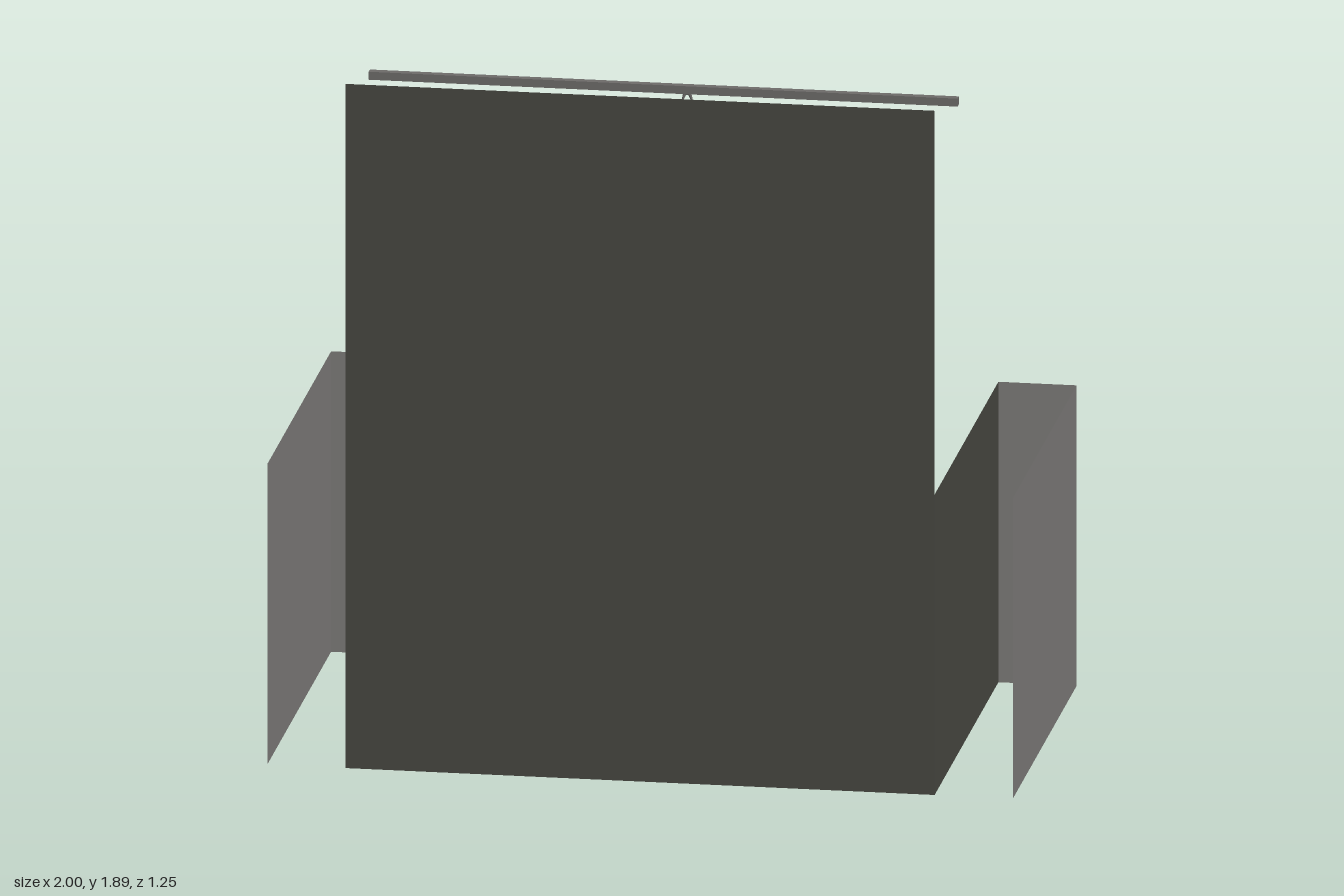
import * as THREE from 'three';

export function createModel() {
  const model = new THREE.Group();
  const mat = (name, color, opts = {}) => {
    const m = new THREE.MeshStandardMaterial({ color, side: THREE.DoubleSide, ...opts });
    m.name = name;
    return m;
  };
  const soot = mat('soot', 0x484842);
  const stone = mat('stone', 0x7e7c7a);
  const iron = mat('iron', 0x6e6c6a);
  const ash = mat('ash', 0x83827f);
  const V = (x, y, z) => new THREE.Vector3(x, y, z);

  const add = (name, geo, material, pos = [0, 0, 0], rot = [0, 0, 0], parent = model) => {
    const m = new THREE.Mesh(geo, material);
    m.name = name;
    m.position.set(...pos);
    m.rotation.set(...rot);
    parent.add(m);
    return m;
  };
  // Round bar between two points
  const rod = (name, a, b, r0, r1, material, sides = 8, parent = model) => {
    const d = b.clone().sub(a);
    const m = add(name, new THREE.CylinderGeometry(r1, r0, d.length(), sides), material,
      a.clone().add(b).multiplyScalar(0.5).toArray(), [0, 0, 0], parent);
    m.quaternion.setFromUnitVectors(V(0, 1, 0), d.normalize());
    return m;
  };

  // Fireplace shell: back wall, floor, side walls and open-topped pillars
  add('backWall', new THREE.PlaneGeometry(1.58, 1.89), soot, [0, 0.945, 0.622], [0, Math.PI, 0]);
  add('floor', new THREE.PlaneGeometry(1.58, 0.95), soot, [0, 0.03, 0.147], [-Math.PI / 2, 0, 0]);
  for (const s of [1, -1]) {
    add('innerSideWall', new THREE.PlaneGeometry(1.064, 0.83), soot, [s * 0.79, 0.415, 0.09], [0, -s * Math.PI / 2, 0]);
    add('outerSideWall', new THREE.PlaneGeometry(1.064, 0.83), stone, [s, 0.415, 0.09], [0, s * Math.PI / 2, 0]);
    add('pillarFace', new THREE.PlaneGeometry(0.21, 0.83), stone, [s * 0.895, 0.415, -0.442], [0, Math.PI, 0]);
  }

  // Hearth kerb stones, open underneath
  for (const [x0, x1] of [[-0.79, -0.285], [-0.275, 0.246], [0.256, 0.79]]) {
    const g = new THREE.BoxGeometry(x1 - x0, 0.08, 0.12);
    const idx = Array.from(g.index.array);
    idx.splice(18, 6);
    g.setIndex(idx);
    add('kerbStone', g, stone, [(x0 + x1) / 2, 0.04, -0.382]);
  }

  // Soot patch spilled in front of the kerb, sloping to the ground
  const patch = new THREE.Shape([[-0.23, -0.45], [-0.22, -0.5], [-0.19, -0.55], [-0.09, -0.59], [0.16, -0.628],
    [0.41, -0.59], [0.51, -0.53], [0.58, -0.46], [0.57, -0.45]].map(([x, z]) => new THREE.Vector2(x, -z)));
  const patchGeo = new THREE.ShapeGeometry(patch);
  patchGeo.rotateX(-Math.PI / 2);
  const pp = patchGeo.attributes.position;
  for (let i = 0; i < pp.count; i++) pp.setY(i, 0.002 + 0.012 * Math.max(0, (pp.getZ(i) + 0.6) / 0.15));
  patchGeo.computeVertexNormals();
  add('sootPatch', patchGeo, soot);

  // Cross bar and hanging chain
  add('crossBar', new THREE.BoxGeometry(1.58, 0.022, 0.022), iron, [0, 1.8, 0.227]);
  const potX = 0.063, potZ = 0.227;
  const linkGeo = new THREE.TorusGeometry(0.013, 0.003, 5, 10);
  linkGeo.scale(1, 2.9, 1);
  for (let i = 0; i < 12; i++) {
    add('chainLink', linkGeo, iron, [potX, 1.755 - i * 0.06, potZ], [0, i % 2 ? Math.PI / 2 : 0, 0]);
  }

  // Cauldron with soup, bail handle, ears and three feet
  const pot = new THREE.Group();
  pot.name = 'cauldron';
  pot.position.set(potX, 0, potZ);
  model.add(pot);
  const profile = [[0, 0.575], [0.06, 0.58], [0.12, 0.605], [0.165, 0.65], [0.187, 0.705], [0.182, 0.755],
    [0.163, 0.79], [0.158, 0.81], [0.183, 0.835], [0.172, 0.838], [0.148, 0.81], [0.15, 0.785]]
    .map(([r, y]) => new THREE.Vector2(r, y));
  add('potBody', new THREE.LatheGeometry(profile, 12), iron, [0, 0, 0], [0, 0, 0], pot);
  add('potContents', new THREE.CircleGeometry(0.152, 12), soot, [0, 0.8, 0], [-Math.PI / 2, 0, 0], pot);
  const bail = new THREE.CatmullRomCurve3([V(-0.185, 0.78, 0), V(-0.175, 0.87, 0), V(-0.115, 0.965, 0), V(0, 1.01, 0),
    V(0.115, 0.965, 0), V(0.175, 0.87, 0), V(0.185, 0.78, 0)]);
  add('potHandle', new THREE.TubeGeometry(bail, 20, 0.006, 6), iron, [0, 0, 0], [0, 0, 0], pot);
  rod('potHook', V(0, 1.0, 0), V(0, 1.08, 0), 0.005, 0.005, iron, 6, pot);
  for (const s of [1, -1]) {
    add('potEar', new THREE.TorusGeometry(0.018, 0.005, 5, 10), iron, [s * 0.178, 0.785, 0], [0, 0, 0], pot);
  }
  for (let i = 0; i < 3; i++) {
    const a = -Math.PI / 2 + i * Math.PI * 2 / 3, c = Math.cos(a), n = Math.sin(a);
    rod('potFoot', V(c * 0.13, 0.63, n * 0.13), V(c * 0.15, 0.53, n * 0.15), 0.02, 0.011, iron, 6, pot);
  }

  // Firedogs: post with finial, spread feet, tool rest and log bar
  for (const s of [1, -1]) {
    const dog = new THREE.Group();
    dog.name = 'firedog';
    dog.position.set(s * 0.385, 0, -0.2);
    model.add(dog);
    rod('post', V(0, 0.1, 0), V(0, 0.47, 0), 0.016, 0.013, iron, 8, dog);
    add('finial', new THREE.SphereGeometry(0.022, 8, 6), iron, [0, 0.49, 0], [0, 0, 0], dog);
    add('finialTip', new THREE.ConeGeometry(0.012, 0.03, 8), iron, [0, 0.515, 0], [0, 0, 0], dog);
    for (const y of [0.13, 0.43]) add('collar', new THREE.CylinderGeometry(0.022, 0.022, 0.02, 8), iron, [0, y, 0], [0, 0, 0], dog);
    for (const t of [1, -1]) rod('foot', V(0, 0.13, 0), V(t * 0.095, 0.04, 0), 0.014, 0.012, iron, 6, dog);
    rod('frontFoot', V(0, 0.13, 0), V(0, 0.04, -0.065), 0.014, 0.01, iron, 6, dog);
    rod('toolRest', V(0, 0.37, 0.02), V(0, 0.36, -0.045), 0.008, 0.008, iron, 6, dog);
    add('logBar', new THREE.BoxGeometry(0.016, 0.02, 0.63), iron, [0, 0.18, 0.315], [0, 0, 0], dog);
    rod('rearLeg', V(0, 0.18, 0.62), V(0, 0.03, 0.62), 0.01, 0.01, iron, 6, dog);
  }

  // Poker lying across the rests, and a tool leaning at the wall
  rod('poker', V(-0.7, 0.38, -0.225), V(0.54, 0.38, -0.225), 0.005, 0.005, iron, 6);
  rod('pokerTip', V(0.54, 0.38, -0.225), V(0.66, 0.38, -0.225), 0.005, 0.002, soot, 6);
  add('pokerGrip', new THREE.TorusGeometry(0.022, 0.006, 5, 10), iron, [-0.725, 0.38, -0.21], [Math.PI / 2, 0, 0]);
  rod('leaningTool', V(-0.74, 0.37, -0.2), V(-0.77, 0.74, -0.2), 0.006, 0.005, iron, 6);
  add('toolHead', new THREE.IcosahedronGeometry(0.025, 0), iron, [-0.74, 0.37, -0.2]);

  // Logs: [end a, end b, radius a, radius b, ashy spans along the log]
  const logs = [
    [V(-0.47, 0.23, -0.025), V(-0.03, 0.1, 0.025), 0.047, 0.028, [[0, 0.5]]],
    [V(-0.52, 0.26, 0.13), V(0.46, 0.26, 0.175), 0.058, 0.036, [[0, 0.2], [0.77, 1]]],
    [V(-0.39, 0.25, 0.31), V(0.51, 0.25, 0.285), 0.043, 0.044, [[0, 0.035], [0.7, 1]]],
    [V(0.45, 0.25, -0.06), V(0.07, 0.13, -0.03), 0.04, 0.025, [[0, 0.4]]],
  ];
  for (const [a, b, ra, rb, spans] of logs) {
    const at = t => a.clone().lerp(b, t), rad = t => ra + (rb - ra) * t;
    let t0 = 0;
    for (const [s, e] of [...spans, [1, 1]]) {
      if (s > t0) rod('charredLog', at(t0), at(s), rad(t0) * 0.95, rad(s) * 0.95, soot, 10);
      if (e > s) rod('ashyLog', at(s), at(e), rad(s), rad(e), ash, 10);
      t0 = e;
    }
  }

  // Cinders scattered on the floor
  const cinder = new THREE.TetrahedronGeometry(0.017);
  const spots = [[-0.47, -0.11], [-0.44, -0.1], [-0.65, 0.35], [-0.65, 0.4], [-0.56, 0.42], [-0.31, 0.46], [-0.01, 0.48],
    [0.25, 0.47], [0.45, 0.43], [0.56, 0.5], [0.54, 0.13], [0.49, -0.06], [0.45, -0.14], [0.34, 0.05], [0.68, 0.24],
    [-0.47, 0.28], [-0.52, 0.27], [-0.23, 0.38], [0.23, 0.38], [0.37, -0.14]];
  spots.forEach(([x, z], i) => add('cinder', cinder, soot, [x, 0.037, z], [i * 1.3, i * 0.7, i * 2.1]));

  return model;
}
